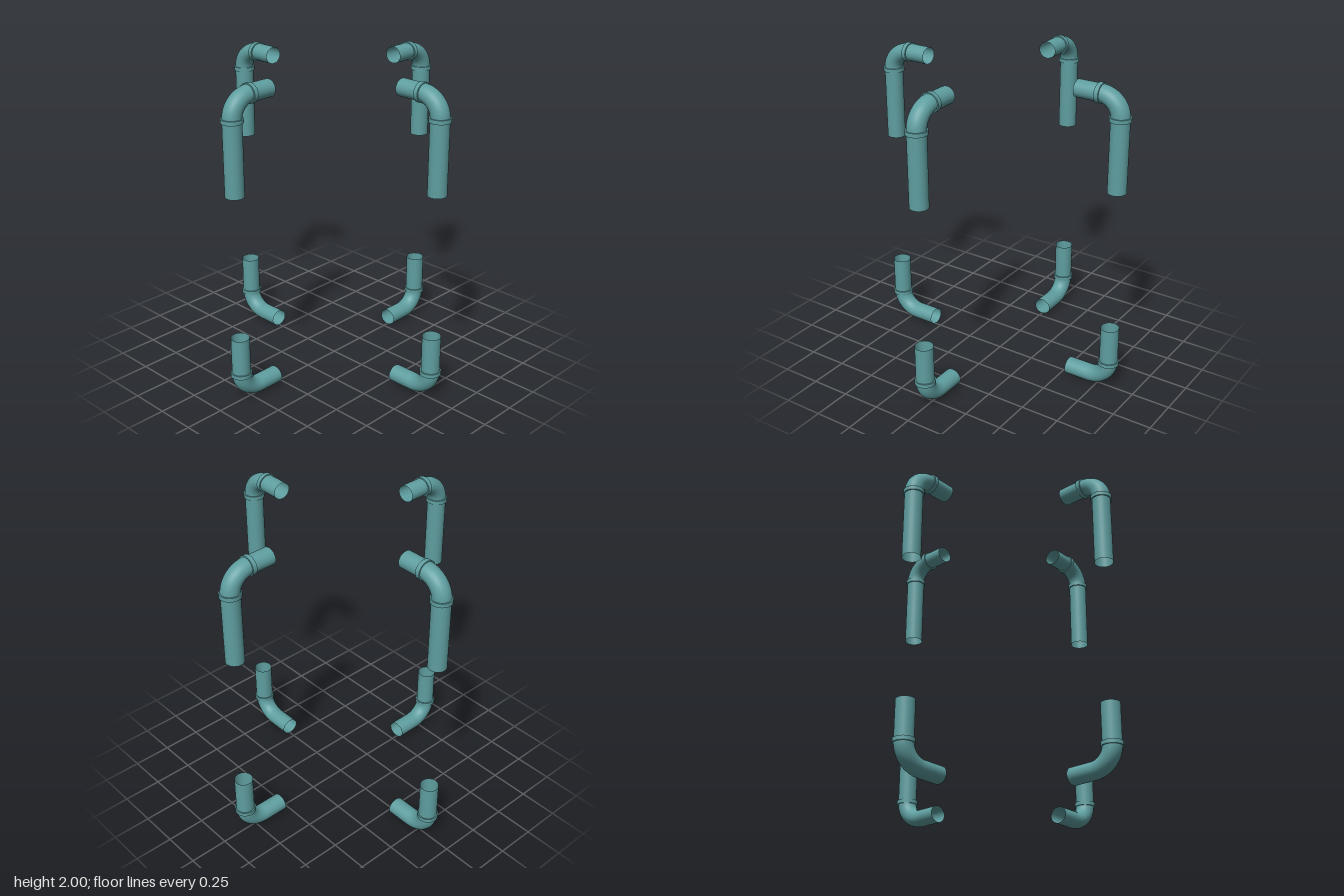
import * as THREE from 'three';

const R = 0.058;       // pipe radius
const COLLAR = 0.066;  // collar radius
const BEND = 0.135;    // elbow centreline radius
const REACH = 0.82;    // distance of the uprights from the axis
const INNER = 0.537;   // inner end of the horizontal arms
const SQUASH = 0.92;   // slight flattening in height

const material = new THREE.MeshStandardMaterial({ color: 0x5f9ea0, side: THREE.DoubleSide });

function add(parent, name, geometry, x, y, rotZ = 0) {
  const mesh = new THREE.Mesh(geometry, material);
  mesh.name = name;
  mesh.position.set(x, y, 0);
  mesh.rotation.z = rotZ;
  parent.add(mesh);
}

const tube = (length) => new THREE.CylinderGeometry(R, R, length, 32, 1, true);

// Flat-faced ring around a pipe; doubled corners keep its edges crisp
function collar() {
  const h = 0.014;
  const corners = [[R, -h], [COLLAR, -h], [COLLAR, -h], [COLLAR, h], [COLLAR, h], [R, h]];
  return new THREE.LatheGeometry(corners.map(([x, y]) => new THREE.Vector2(x, y)), 32);
}

// Elbowed pipe: arm along x at y = 0, upright going down (dir -1) or up (dir 1)
function elbowPipe(name, dir, height, collarHeight, armCollar) {
  const pipe = new THREE.Group();
  pipe.name = name;
  const bendX = REACH - BEND;
  const h = height / SQUASH;
  add(pipe, 'elbow', new THREE.TorusGeometry(BEND, R, 32, 20, Math.PI / 2),
    bendX, dir * BEND, dir > 0 ? -Math.PI / 2 : 0);
  add(pipe, 'upright', tube(h - BEND), REACH, dir * (h + BEND) / 2);
  add(pipe, 'arm', tube(bendX - INNER), (bendX + INNER) / 2, 0, Math.PI / 2);
  add(pipe, 'uprightCollar', collar(), REACH, dir * collarHeight / SQUASH);
  if (armCollar) add(pipe, 'armCollar', collar(), 0.688, 0, Math.PI / 2);
  pipe.scale.y = SQUASH;
  return pipe;
}

export function createModel() {
  const model = new THREE.Group();
  model.name = 'pipeSet';
  // One upper and one lower elbow on each of four sides, with a tiny height offset
  const sides = [
    ['left', 0, -0.004], ['back', Math.PI / 2, -0.004],
    ['right', Math.PI, 0.004], ['front', -Math.PI / 2, 0.004],
  ];
  for (const [side, angle, lift] of sides) {
    const upper = elbowPipe(side + 'UpperPipe', -1, 0.587, 0.131, true);
    const lower = elbowPipe(side + 'LowerPipe', 1, 0.375, 0.126, false);
    upper.position.y = 1.937 + lift;
    lower.position.y = 0.058 + lift;
    for (const pipe of [upper, lower]) {
      pipe.rotation.y = angle;
      model.add(pipe);
    }
  }
  return model;
}
